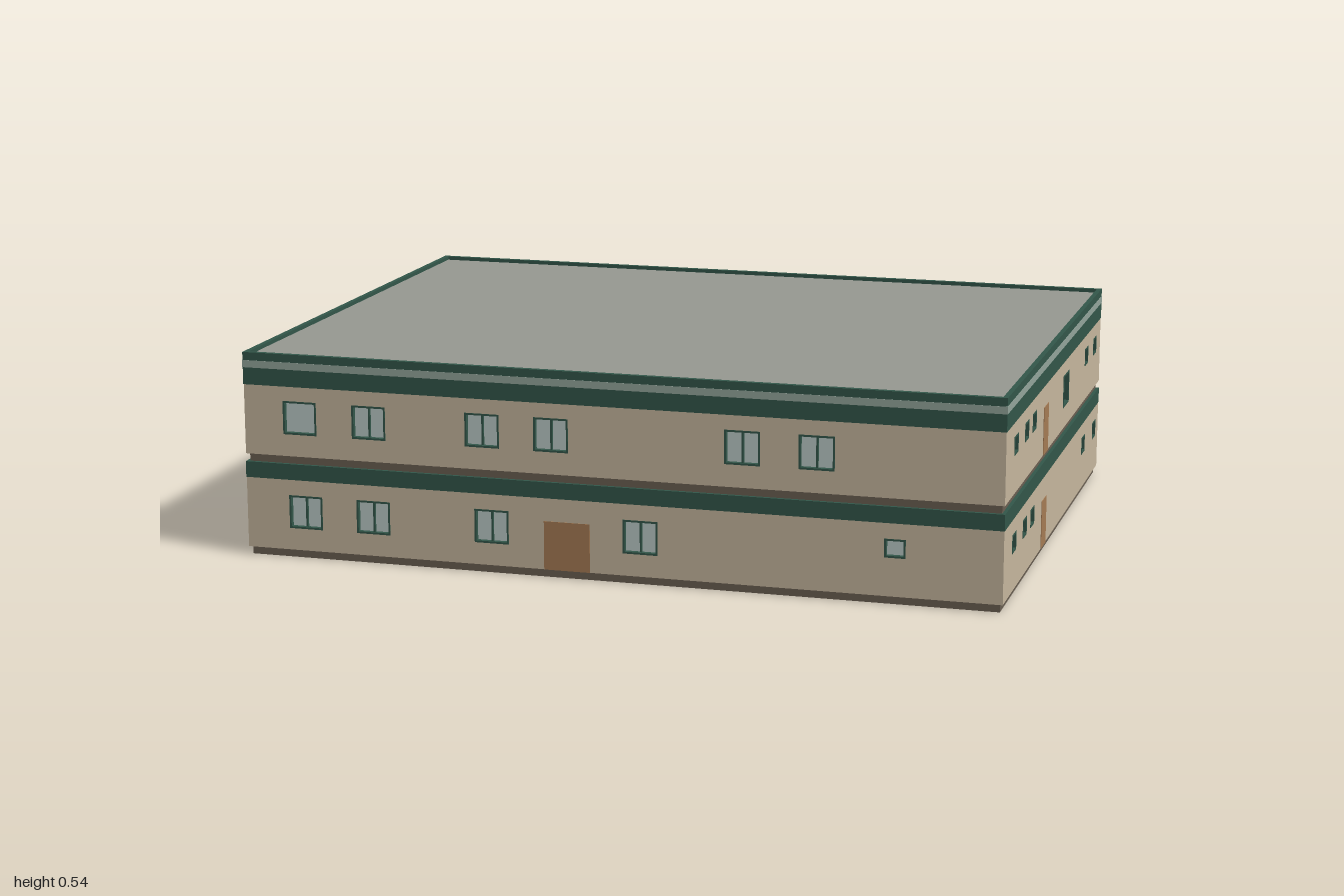
import * as THREE from 'three';

const mat = (name, color) => {
  const m = new THREE.MeshStandardMaterial({ color });
  m.name = name;
  return m;
};

export function createModel() {
  const wallTan = mat('wall tan', 0xc7b89f);
  const green = mat('trim green', 0x33574a);
  const stripeGrey = mat('stripe grey green', 0x94a69c);
  const roofGrey = mat('roof grey', 0x979992);
  const plinthBrown = mat('plinth brown', 0x6a5f52);
  const glassBlue = mat('glass pale blue', 0xbccbc8);
  const doorBrown = mat('door brown', 0xa67c55);

  const W = 1, D = 0.75; // half width and half depth
  const building = new THREE.Group();
  building.name = 'building';

  const add = (parent, name, geometry, material, x = 0, y = 0, z = 0) => {
    const mesh = new THREE.Mesh(geometry, material);
    mesh.name = name;
    mesh.position.set(x, y, z);
    parent.add(mesh);
    return mesh;
  };

  // Full-footprint layer between two heights
  const slab = (name, y0, y1, inset, material) =>
    add(building, name, new THREE.BoxGeometry(2 * (W - inset), y1 - y0, 2 * (D - inset)), material, 0, (y0 + y1) / 2);

  const rect = (Type, x0, x1, y0, y1) => {
    const p = new Type();
    p.moveTo(x0, y0);
    p.lineTo(x1, y0);
    p.lineTo(x1, y1);
    p.lineTo(x0, y1);
    p.closePath();
    return p;
  };
  const extrude = (shape, depth) => new THREE.ExtrudeGeometry(shape, { depth, bevelEnabled: false });

  // Plinths, bands, stripe and roof
  slab('lowerPlinth', 0, 0.021, 0.01, plinthBrown);
  slab('lowerBand', 0.208, 0.25, 0.001, green);
  slab('upperPlinth', 0.25, 0.271, 0.01, plinthBrown);
  slab('upperBand', 0.455, 0.5, 0.001, green);
  slab('roofStripe', 0.5, 0.519, 0, stripeGrey);
  slab('roof', 0.519, 0.53, 0.012, roofGrey);

  // Parapet ring around the roof
  const ring = rect(THREE.Shape, -W + 0.001, W - 0.001, -D + 0.001, D - 0.001);
  ring.holes.push(rect(THREE.Path, -W + 0.014, W - 0.014, -D + 0.014, D - 0.014));
  add(building, 'parapet', extrude(ring, 0.021), green, 0, 0.519, 0).rotation.x = -Math.PI / 2;

  // Window kinds: [width, bottom above floor, top above floor, mullion]
  const kinds = {
    d: [0.092, 0.058, 0.146, true],  // double
    s: [0.092, 0.058, 0.146, false], // single
    q: [0.054, 0.099, 0.147, false], // small
  };
  const floors = [{ y0: 0.021, y1: 0.208 }, { y0: 0.271, y1: 0.455 }];
  const T = 0.02; // wall thickness

  // Openings run left to right as seen from outside; doors are [centre, width]
  const sides = [
    { name: 'front', turn: 0, half: W, out: D, floors: [
      { windows: [['d', -0.834], ['d', -0.647], ['d', -0.324], ['d', 0.072], ['q', 0.727]], doors: [[-0.122, 0.122]] },
      { windows: [['s', -0.845], ['d', -0.655], ['d', -0.347], ['d', -0.163], ['d', 0.337], ['d', 0.527]], doors: [] },
    ] },
    { name: 'leftSide', turn: Math.PI / 2, half: D, out: W, floors: [
      { windows: [['q', -0.608], ['q', -0.458], ['q', -0.347], ['q', 0.478], ['q', 0.673]], doors: [[-0.171, 0.07]] },
      { windows: [['q', -0.608], ['q', -0.458], ['q', -0.347], ['d', 0.149], ['q', 0.498], ['q', 0.647]], doors: [[-0.171, 0.07]] },
    ] },
    { name: 'back', turn: Math.PI, half: W, out: D, floors: [
      { windows: [['d', -0.406], ['d', -0.153], ['d', 0.037], ['s', 0.252], ['s', 0.437], ['d', 0.667], ['d', 0.856]], doors: [] },
      { windows: [['q', -0.728], ['q', -0.516], ['s', -0.28], ['s', 0.248], ['d', 0.434]], doors: [] },
    ] },
    { name: 'rightSide', turn: -Math.PI / 2, half: D, out: W, floors: [
      { windows: [['d', -0.15], ['s', 0.363], ['d', 0.62]], doors: [[-0.34, 0.075], [0.176, 0.075]] },
      { windows: [['d', -0.19], ['d', 0]], doors: [] },
    ] },
  ];

  for (const side of sides) {
    const group = new THREE.Group();
    group.name = side.name;
    group.rotation.y = side.turn;
    building.add(group);
    const face = side.out - 0.002;

    side.floors.forEach((plan, i) => {
      const { y0, y1 } = floors[i];
      const wall = rect(THREE.Shape, -side.half + 0.002, side.half - 0.002, y0, y1);

      // Recessed windows: hole, frame, glass and mullion
      for (const [kind, x] of plan.windows) {
        const [w, low, high, mullion] = kinds[kind];
        const x0 = x - w / 2, x1 = x + w / 2, b = y0 + low, t = y0 + high, f = 0.005;
        wall.holes.push(rect(THREE.Path, x0, x1, b, t));
        const frame = rect(THREE.Shape, x0, x1, b, t);
        frame.holes.push(rect(THREE.Path, x0 + f, x1 - f, b + f, t - f));
        add(group, 'windowFrame', extrude(frame, T), green, 0, 0, face - T + 0.001);
        add(group, 'windowGlass', new THREE.BoxGeometry(w - f, t - b - f, 0.004), glassBlue, x, (b + t) / 2, face - 0.014);
        if (mullion) add(group, 'windowMullion', new THREE.BoxGeometry(0.005, t - b - f, 0.008), green, x, (b + t) / 2, face - 0.009);
      }
      add(group, 'wall', extrude(wall, T), wallTan, 0, 0, face - T);

      // Doors
      for (const [x, w] of plan.doors)
        add(group, 'door', new THREE.BoxGeometry(w, 0.127, 0.006), doorBrown, x, y0 + 0.0635, face - 0.0015);
    });
  }
  return building;
}
